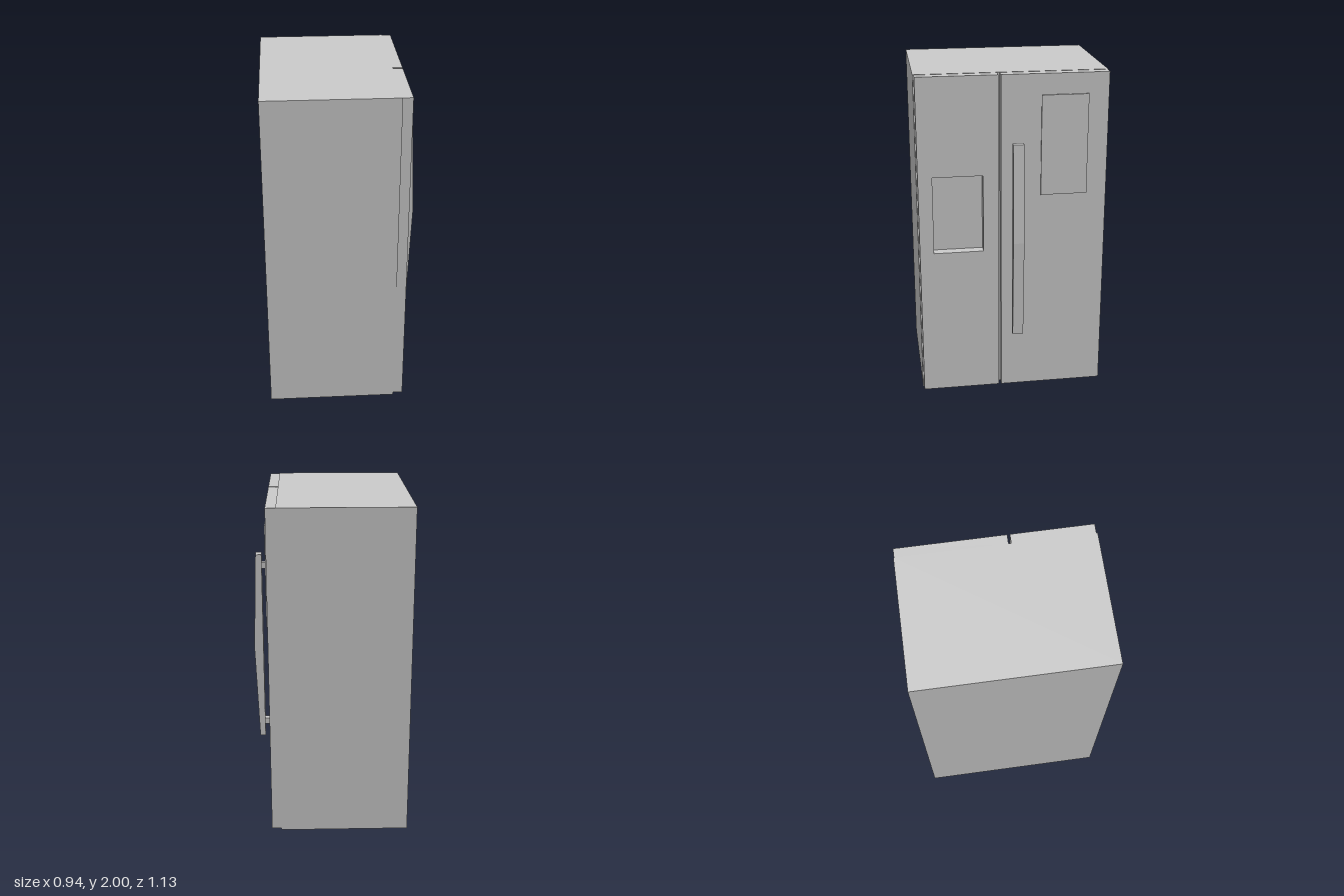
import * as THREE from 'three';

const material = new THREE.MeshStandardMaterial({ color: 0xcccccc });

// Box given by its limits on each axis
function block(name, [x0, x1], [y0, y1], [z0, z1]) {
  const mesh = new THREE.Mesh(new THREE.BoxGeometry(x1 - x0, y1 - y0, z1 - z0), material);
  mesh.position.set((x0 + x1) / 2, (y0 + y1) / 2, (z0 + z1) / 2);
  mesh.name = name;
  return mesh;
}

// Corners of a rectangle in the door plane, where the shape's x runs along -z
function rectangle([y0, y1], [z0, z1]) {
  return [[-z1, y0], [-z0, y0], [-z0, y1], [-z1, y1]].map(([a, b]) => new THREE.Vector2(a, b));
}

export function createModel() {
  const model = new THREE.Group();
  model.name = 'refrigerator';

  // Cabinet, with the doors on its +x side
  model.add(block('cabinet', [-0.47, 0.302], [0, 2], [-0.563, 0.563]));

  // Wide door with a slightly raised panel
  model.add(block('wideDoor', [0.302, 0.36], [0.01, 1.998], [-0.56, 0.069]));
  model.add(block('raisedPanel', [0.36, 0.37], [1.275, 1.875], [-0.441, -0.166]));

  // Narrow door with a dispenser opening cut through to the cabinet
  const doorShape = new THREE.Shape(rectangle([0.01, 1.998], [0.084, 0.556]));
  doorShape.holes.push(new THREE.Path(rectangle([0.932, 1.406], [0.175, 0.472]).reverse()));
  const doorGeometry = new THREE.ExtrudeGeometry(doorShape, { depth: 0.058, bevelEnabled: false });
  doorGeometry.rotateY(Math.PI / 2);
  const narrowDoor = new THREE.Mesh(doorGeometry, material);
  narrowDoor.position.x = 0.302;
  narrowDoor.name = 'narrowDoor';
  model.add(narrowDoor);

  // Handle bar, thickest at the middle, on two short mounts
  const handle = new THREE.Group();
  handle.name = 'handle';
  const profile = new THREE.Shape([
    [0.408, 0.402], [0.442, 0.402], [0.465, 1.01], [0.444, 1.609], [0.408, 1.609],
  ].map(([x, y]) => new THREE.Vector2(x, y)));
  const bar = new THREE.Mesh(
    new THREE.ExtrudeGeometry(profile, { depth: 0.065, bevelEnabled: false }), material);
  bar.position.z = -0.055;
  bar.name = 'handleBar';
  handle.add(bar);
  for (const y of [0.495, 1.537]) {
    handle.add(block('handleMount', [0.36, 0.408], [y - 0.019, y + 0.019], [-0.038, 0]));
  }
  model.add(handle);

  return model;
}
